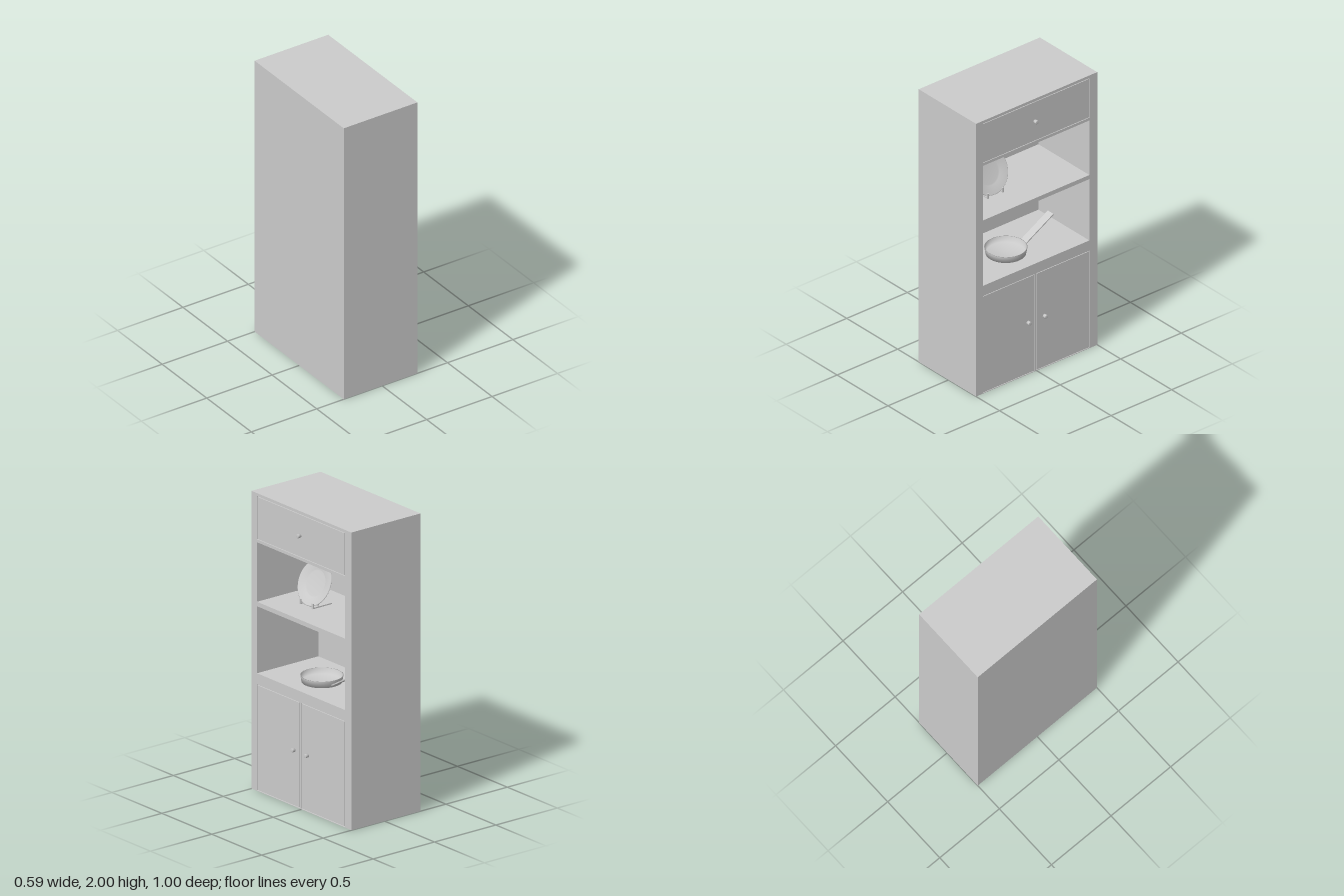
import * as THREE from 'three';

const grey = new THREE.MeshStandardMaterial({ color: 0xcccccc, side: THREE.DoubleSide });
const flat = new THREE.MeshStandardMaterial({ color: 0xcccccc, flatShading: true });
const BACK = -0.23, FACE = 0.27;

function part(parent, name, geometry, x = 0, y = 0, z = 0, material = flat) {
  const mesh = new THREE.Mesh(geometry, material);
  mesh.name = name;
  mesh.position.set(x, y, z);
  parent.add(mesh);
  return mesh;
}

// box given by its limits on each axis
function block(parent, name, [x0, x1], [y0, y1], [z0, z1]) {
  return part(parent, name, new THREE.BoxGeometry(x1 - x0, y1 - y0, z1 - z0),
    (x0 + x1) / 2, (y0 + y1) / 2, (z0 + z1) / 2);
}

function rect(target, [y0, y1], [z0, z1]) {
  target.moveTo(-z1, y0);
  target.lineTo(-z0, y0);
  target.lineTo(-z0, y1);
  target.lineTo(-z1, y1);
  target.closePath();
  return target;
}

function lathe(points, segments = 48) {
  return new THREE.LatheGeometry(points.map(([r, y]) => new THREE.Vector2(r, y)), segments);
}

export function createModel() {
  const model = new THREE.Group();
  model.name = 'cupboard';
  const width = [-0.435, 0.445];

  // cabinet: frame pierced by two shelves, a drawer bay and two door bays
  const bays = {
    drawerFront: [[1.69, 1.98], width],
    leftDoor: [[0.004, 0.715], [0.02, 0.445]],
    rightDoor: [[0.004, 0.715], [-0.435, 0]]
  };
  const outline = rect(new THREE.Shape(), [0, 2], [-0.5, 0.5]);
  const openings = [[[1.27, 1.67], width], [[0.79, 1.24], width], ...Object.values(bays)];
  openings.forEach(([y, z]) => outline.holes.push(rect(new THREE.Path(), y, z)));
  const frame = new THREE.ExtrudeGeometry(outline, { depth: FACE - BACK, bevelEnabled: false });
  part(model, 'cabinetFrame', frame, BACK).rotation.y = Math.PI / 2;
  block(model, 'backPanel', [-0.293, BACK], [0, 2], [-0.5, 0.5]);

  // flush drawer and doors, separated from the frame by narrow grooves
  const gap = 0.004;
  for (const [name, [[y0, y1], [z0, z1]]] of Object.entries(bays)) {
    block(model, name, [BACK + 0.02, FACE], [y0 + gap, y1 - gap], [z0 + gap, z1 - gap]);
  }

  // round knobs
  const knob = lathe([[0, 0], [0.013, 0], [0.013, 0.021], [0.011, 0.023], [0, 0.023]], 24);
  knob.rotateZ(-Math.PI / 2);
  [['drawerKnob', 1.835, 0.014], ['leftDoorKnob', 0.38, 0.071], ['rightDoorKnob', 0.38, -0.063]]
    .forEach(([name, y, z]) => part(model, name, knob, FACE, y, z, grey));

  // plate leaning back on its stand
  const tilt = 0.42;
  const plate = part(model, 'plate', lathe([
    [0, -0.014], [0.085, -0.014], [0.15, 0.002], [0.152, 0.006], [0.148, 0.008],
    [0.09, -0.002], [0.083, -0.008], [0, -0.008]
  ], 64), 0.01, 1.411, 0.182, grey);
  plate.rotation.z = tilt - Math.PI / 2;
  for (const z of [0.12, 0.243]) {
    const side = [z - 0.006, z + 0.006];
    block(model, 'standFoot', [-0.07, 0.085], [1.27, 1.278], side);
    block(model, 'standLip', [0.076, 0.085], [1.278, 1.305], side);
    const rest = part(model, 'standRest', new THREE.BoxGeometry(0.008, 0.15, 0.012), 0.014, 1.348, z);
    rest.rotation.z = tilt;
  }

  // frying pan with a flat, rising handle
  const pan = new THREE.Group();
  pan.name = 'fryingPan';
  pan.position.set(0.048, 0.791, 0.068);
  model.add(pan);
  part(pan, 'panBowl', lathe([
    [0, 0], [0.129, 0], [0.137, 0.044], [0.132, 0.044], [0.124, 0.006], [0, 0.006]
  ], 48), 0, 0, 0, grey);
  const handle = part(pan, 'panHandle', new THREE.BoxGeometry(0.055, 0.008, 0.28), 0, 0.084, -0.25);
  handle.rotation.x = Math.atan2(0.137, 0.24);

  return model;
}
